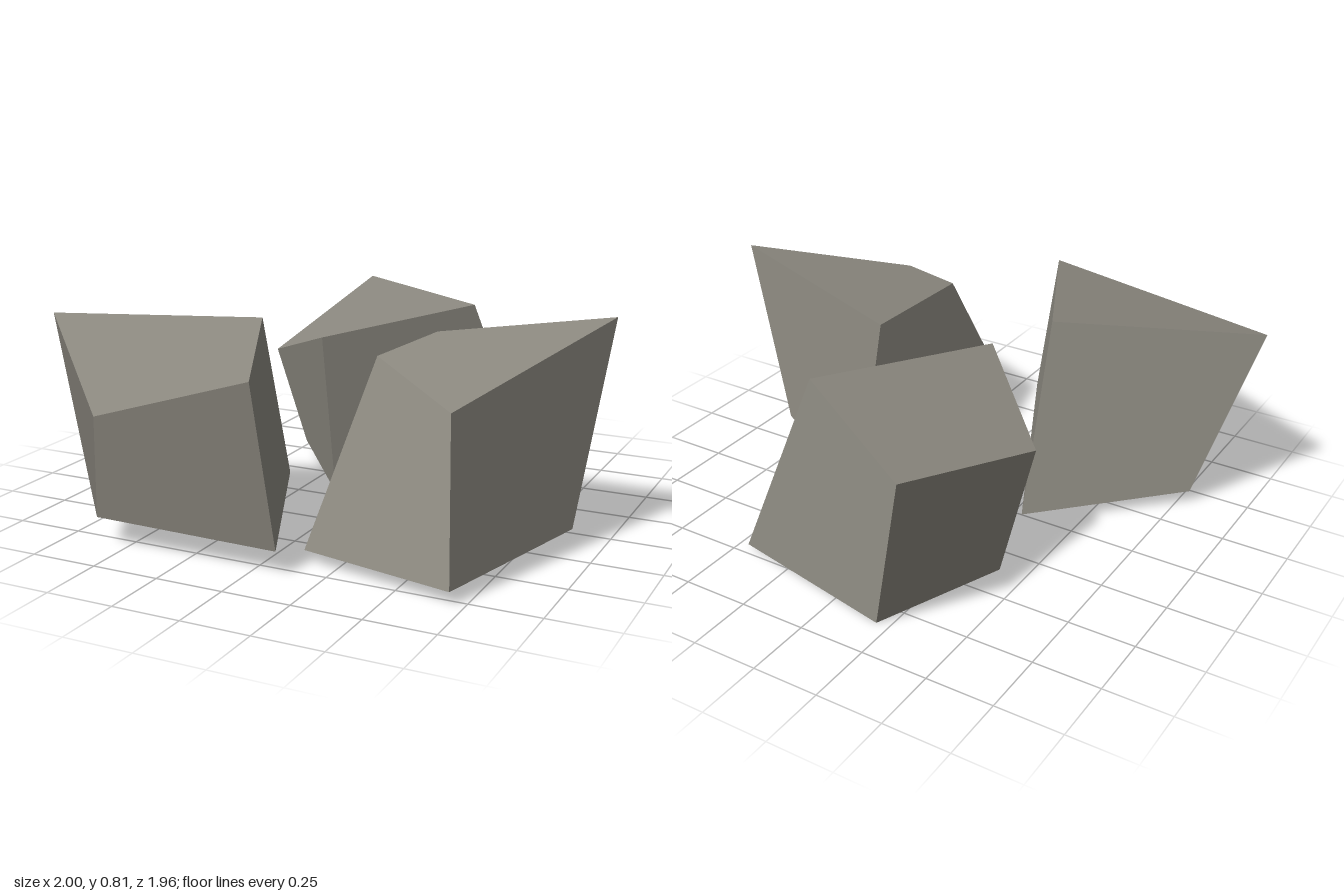
import * as THREE from 'three';

const V = (p) => new THREE.Vector3(...p);

// Six-sided rock from a bottom and a top loop (each counter-clockwise from above).
// Every face gets one flat normal. Top and bottom are split along their raised
// diagonal; all sides are split the same way round, rising to the right or the left.
function rockGeometry(bottom, top, risesRight) {
  const b = bottom.map(V), t = top.map(V);
  const positions = [], normals = [];
  const faceNormal = (q) => q[2].clone().sub(q[0]).cross(q[3].clone().sub(q[1])).normalize();
  const addFace = (q, n, splitFromFirst) => {
    for (const k of splitFromFirst ? [0, 1, 2, 0, 2, 3] : [1, 2, 3, 1, 3, 0]) {
      positions.push(...q[k].toArray());
      normals.push(...n.toArray());
    }
  };
  for (const cap of [t, [...b].reverse()]) {
    const n = faceNormal(cap);
    addFace(cap, n, n.dot(cap[0]) + n.dot(cap[2]) >= n.dot(cap[1]) + n.dot(cap[3]));
  }
  for (let i = 0; i < 4; i++) {
    const j = (i + 1) % 4;
    const side = [b[i], b[j], t[j], t[i]];
    addFace(side, faceNormal(side), risesRight);
  }
  const geometry = new THREE.BufferGeometry();
  geometry.setAttribute('position', new THREE.Float32BufferAttribute(positions, 3));
  geometry.setAttribute('normal', new THREE.Float32BufferAttribute(normals, 3));
  return geometry;
}

const ROCKS = {
  frontRightRock: {
    bottom: [[-0.32, 0.045, -0.06], [-0.795, 0.055, 0.41], [-0.6, 0.105, 0.835], [0.1, 0.09, 0.82]],
    top: [[-0.28, 0.725, 0.21], [-1, 0.733, 0.5], [-0.485, 0.52, 0.98], [0.04, 0.67, 0.868]],
    risesRight: false,
  },
  frontLeftRock: {
    bottom: [[0.27, 0.045, -0.28], [0.13, 0.05, 0.675], [0.705, 0.05, 0.797], [0.885, 0.05, 0.09]],
    top: [[0.303, 0.675, -0.058], [0.275, 0.68, 0.408], [0.645, 0.587, 0.658], [1, 0.812, 0.05]],
    risesRight: true,
  },
  backRock: {
    bottom: [[-0.2, 0, -0.845], [-0.44, 0.06, -0.43], [-0.03, 0.06, 0.118], [0.455, 0.015, -0.72]],
    top: [[-0.39, 0.68, -0.98], [-0.49, 0.483, -0.28], [-0.1, 0.642, 0.085], [0.255, 0.68, -0.56]],
    risesRight: false,
  },
};

export function createModel() {
  const group = new THREE.Group();
  group.name = 'rocks';
  const stone = new THREE.MeshStandardMaterial({ color: 0x8c8980 });
  stone.name = 'stone';
  for (const [name, { bottom, top, risesRight }] of Object.entries(ROCKS)) {
    const mesh = new THREE.Mesh(rockGeometry(bottom, top, risesRight), stone);
    mesh.name = name;
    group.add(mesh);
  }
  return group;
}
